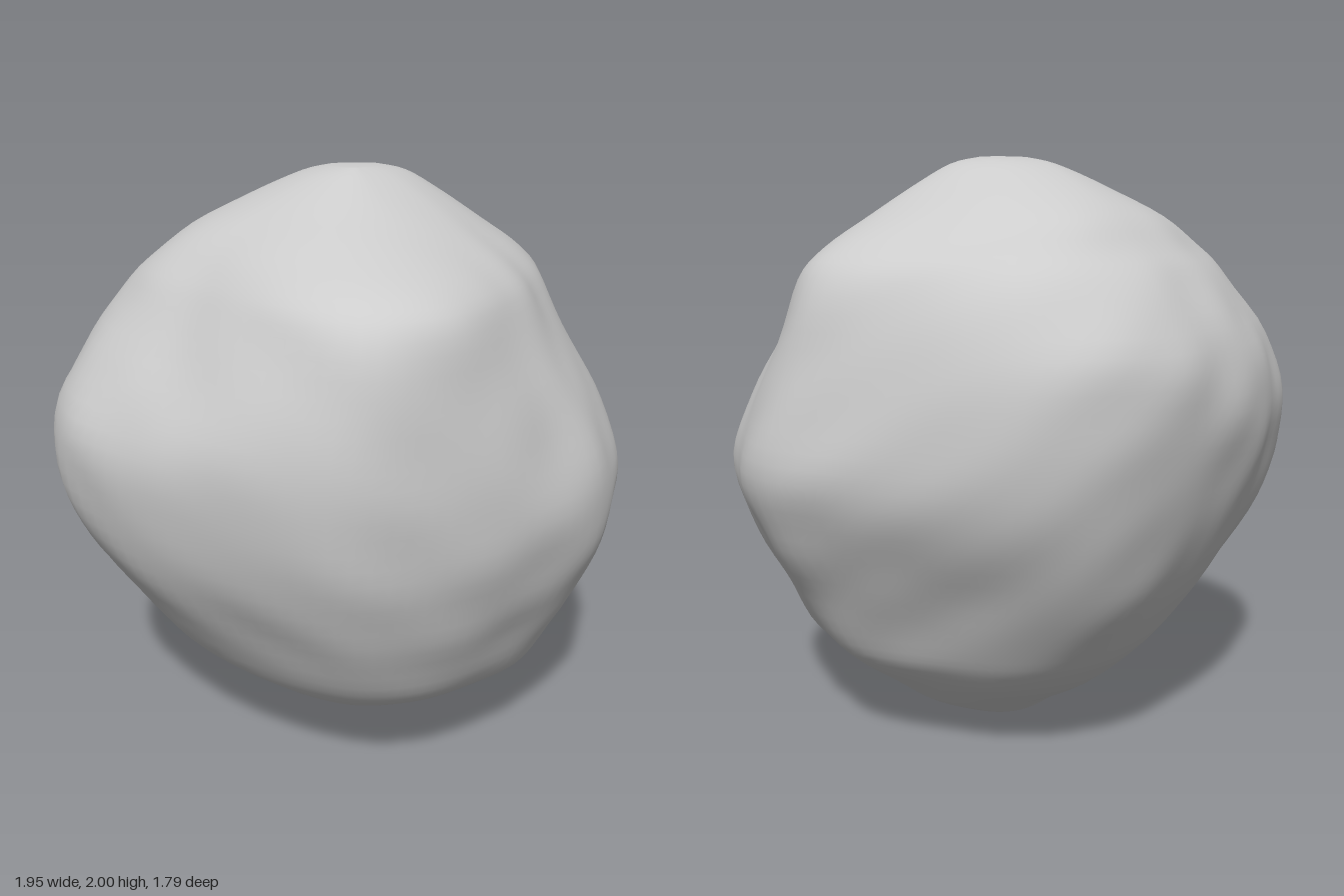
import * as THREE from 'three';

// Heights with the reach of the boulder to each side: [y, -x, +x, +z, -z]
const LEVELS = [
  [0.005, 0.05, 0.10, 0.07, 0.07],
  [0.03, 0.12, 0.18, 0.13, 0.12],
  [0.10, 0.24, 0.33, 0.24, 0.22],
  [0.20, 0.38, 0.47, 0.42, 0.39],
  [0.30, 0.52, 0.61, 0.59, 0.51],
  [0.40, 0.64, 0.71, 0.69, 0.60],
  [0.60, 0.79, 0.82, 0.79, 0.74],
  [0.80, 0.92, 0.92, 0.86, 0.82],
  [1.00, 0.98, 0.98, 0.90, 0.87],
  [1.20, 0.98, 0.94, 0.90, 0.90],
  [1.40, 0.88, 0.87, 0.87, 0.87],
  [1.60, 0.74, 0.79, 0.76, 0.74],
  [1.70, 0.65, 0.69, 0.66, 0.64],
  [1.80, 0.51, 0.53, 0.48, 0.54],
  [1.90, 0.30, 0.37, 0.28, 0.36],
  [1.97, 0.13, 0.24, 0.14, 0.20],
  [1.995, 0.04, 0.13, 0.08, 0.08],
];

// Radius of the widest outline, every 15 degrees from +x towards +z
const OUTLINE = [
  0.98, 0.96, 0.97, 0.95, 0.94, 0.90, 0.90, 0.91, 0.92, 0.89, 0.88, 0.91,
  0.96, 1.0, 0.99, 0.91, 0.88, 0.86, 0.88, 0.90, 0.89, 0.87, 0.87, 0.92,
];

// Broad dents and lobes: [angle, height, amount, angular width, height width]
const LUMPS = [
  [45, 1.6, -0.17, 27, 0.28],
  [350, 1.65, 0.04, 22, 0.2],
  [116, 1.7, 0.18, 22, 0.15],
  [140, 1.4, 0.05, 18, 0.18],
  [168, 1.6, -0.08, 16, 0.2],
  [300, 1.55, 0.03, 22, 0.3],
  [45, 0.65, 0.04, 25, 0.3],
  [52, 0.2, 0.1, 28, 0.14],
  [335, 0.5, -0.07, 20, 0.22],
  [310, 0.45, -0.03, 25, 0.25],
  [225, 0.4, -0.04, 30, 0.25],
];

const spline = (a, b, c, d, t) =>
  0.5 * (2 * b + (c - a) * t + (2 * a - 5 * b + 4 * c - d) * t * t + (3 * b - a - 3 * c + d) * t * t * t);

function outlineAt(degrees) {
  const n = OUTLINE.length, f = degrees / 15, i = Math.floor(f);
  const at = (k) => OUTLINE[(k + n) % n];
  return spline(at(i - 1), at(i), at(i + 1), at(i + 2), f - i);
}

function levelAt(f) {
  const last = LEVELS.length - 1;
  const i = Math.min(Math.floor(f), last - 1);
  const at = (k) => LEVELS[Math.max(0, Math.min(last, k))];
  return LEVELS[0].map((_, c) => spline(at(i - 1)[c], at(i)[c], at(i + 1)[c], at(i + 2)[c], f - i));
}

function lumpAt(degrees, y) {
  let sum = 1;
  for (const [angle, height, amount, wide, tall] of LUMPS) {
    const da = ((degrees - angle + 540) % 360 - 180) / wide;
    const dy = (y - height) / tall;
    sum += amount * Math.exp(-0.5 * (da * da + dy * dy));
  }
  return sum;
}

// Small irregular surface relief
function relief(x, y, z) {
  const broad = Math.sin(5.1 * x + 2.3 * y + 1.0) * Math.sin(4.3 * y - 3.1 * z + 0.4) * Math.sin(4.7 * z + 1.9 * x);
  const fine = Math.sin(11 * x - 7 * z + 2) * Math.sin(13 * y + 5 * x) * Math.sin(12 * z + 6 * y + 1);
  return 0.01 * broad + 0.009 * fine;
}

function boulderGeometry() {
  const rings = 64, sides = 96;
  const points = [], faces = [];

  for (let i = 0; i <= rings; i++) {
    const [y, left, right, front, back] = levelAt((i / rings) * (LEVELS.length - 1));
    // Sections grow rounder towards both ends
    const round = 0.8 * Math.min(1, Math.abs(y - 1)) ** 2;
    for (let j = 0; j < sides; j++) {
      const degrees = (j / sides) * 360, a = THREE.MathUtils.degToRad(degrees);
      const r = outlineAt(degrees);
      const c = Math.cos(a), s = Math.sin(a);
      const ux = THREE.MathUtils.lerp((c * r) / 0.98, c, round);
      const uz = THREE.MathUtils.lerp((s * r) / 0.9, s, round);
      const k = lumpAt(degrees, y);
      const x = ux * k * (c > 0 ? right : left);
      const z = uz * k * (s > 0 ? front : back);
      const bump = 1 + relief(x, y, z);
      points.push(x * bump, y, z * bump);
    }
  }
  // Poles
  const bottom = points.length / 3, top = bottom + 1;
  points.push(0.03, 0, 0, 0.04, 2, 0);

  for (let j = 0; j < sides; j++) {
    const n = (j + 1) % sides, end = rings * sides;
    faces.push(bottom, j, n, top, end + n, end + j);
    for (let i = 0; i < rings; i++) {
      const a = i * sides + j, b = i * sides + n;
      faces.push(a, a + sides, b, b, a + sides, b + sides);
    }
  }

  const geometry = new THREE.BufferGeometry();
  geometry.setAttribute('position', new THREE.Float32BufferAttribute(points, 3));
  geometry.setIndex(faces);
  // Centre on the vertical axis
  geometry.computeBoundingBox();
  const centre = geometry.boundingBox.getCenter(new THREE.Vector3());
  geometry.translate(-centre.x, 0, -centre.z);
  geometry.computeVertexNormals();
  return geometry;
}

export function createModel() {
  const stone = new THREE.MeshStandardMaterial({ color: 0xcccccc });
  stone.name = 'stone grey';

  const boulder = new THREE.Mesh(boulderGeometry(), stone);
  boulder.name = 'boulder';

  const group = new THREE.Group();
  group.name = 'rock';
  group.add(boulder);
  return group;
}
